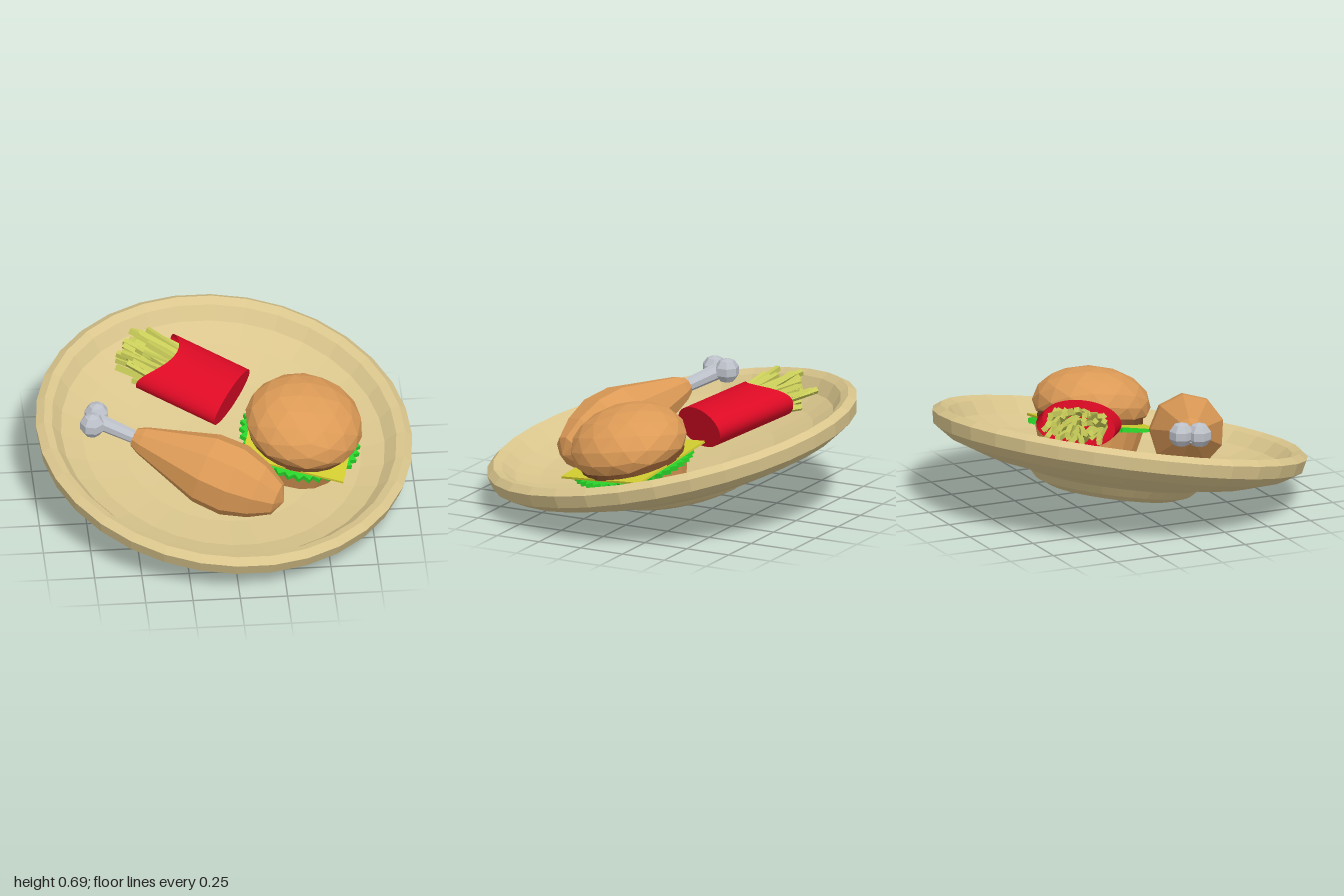
import * as THREE from 'three';

const mat = (name, color, opts = {}) => {
  const m = new THREE.MeshStandardMaterial({ color, ...opts });
  m.name = name;
  return m;
};
const V2 = (a) => a.map(([x, y]) => new THREE.Vector2(x, y));
const V3 = (x, y, z) => new THREE.Vector3(x, y, z);
const UP = V3(0, 1, 0);

function seeded(seed) {
  return () => (seed = (seed * 16807) % 2147483647) / 2147483647;
}

function add(parent, name, geo, material, x = 0, y = 0, z = 0) {
  const m = new THREE.Mesh(geo, material);
  m.name = name;
  m.position.set(x, y, z);
  parent.add(m);
  return m;
}

function subgroup(parent, name, pos) {
  const g = new THREE.Group();
  g.name = name;
  g.position.copy(pos);
  parent.add(g);
  return g;
}

export function createModel() {
  const flat = { flatShading: true };
  const clay = mat('plate clay', 0xd9c58c, flat);
  const bread = mat('bun', 0xdc9a56, flat);
  const meat = mat('patty', 0x7a4c28, flat);
  const green = mat('lettuce', 0x2ad42a, flat);
  const yellow = mat('cheese', 0xd2cc30, flat);
  const potato = mat('fries', 0xc8cc58, flat);
  const red = mat('carton red', 0xdc0a24, { side: THREE.DoubleSide });
  const bone = mat('bone', 0xbcc0c8, flat);

  const model = new THREE.Group();
  model.name = 'mealOnPlate';

  // Shallow footed plate, leaning forward and to its left
  const plate = add(model, 'plate', new THREE.LatheGeometry(V2([
    [0, -0.345], [0.33, -0.345], [0.41, -0.315], [0.455, -0.27], [0.52, -0.25],
    [0.72, -0.215], [0.9, -0.155], [0.985, -0.1], [1.0, -0.03], [0.96, 0],
    [0.915, -0.02], [0.86, -0.085], [0.74, -0.135], [0.52, -0.18], [0.28, -0.2], [0, -0.205],
  ]), 32), clay, 0, 0.41, 0);
  plate.quaternion.setFromUnitVectors(UP, V3(0.095, 1, 0.195).normalize());

  // Burger, stacked along its own tilted axis
  const burger = subgroup(model, 'burger', V3(0.4, 0.335, 0.01));
  burger.quaternion.setFromUnitVectors(UP, V3(0.18, 1, 0.17).normalize());
  add(burger, 'bottomBun', new THREE.CylinderGeometry(0.29, 0.26, 0.11, 20), bread, 0, -0.085, 0);
  const leaf = new THREE.Shape(V2(Array.from({ length: 72 }, (_, i) => {
    const r = i % 2 ? 0.325 : 0.295, a = (i / 72) * Math.PI * 2;
    return [r * Math.cos(a), r * Math.sin(a)];
  })));
  add(burger, 'lettuce', new THREE.ExtrudeGeometry(leaf, { depth: 0.025, bevelEnabled: false })
    .rotateX(-Math.PI / 2), green, 0, -0.032, 0);
  add(burger, 'cheese', new THREE.BoxGeometry(0.55, 0.012, 0.55), yellow).rotation.y = -0.22;
  add(burger, 'patty', new THREE.CylinderGeometry(0.28, 0.28, 0.04, 24), meat, 0, 0.02, 0);
  // Top bun: faceted ball, squashed and flattened underneath
  const dome = new THREE.IcosahedronGeometry(1, 2);
  const dp = dome.attributes.position;
  for (let i = 0; i < dp.count; i++) {
    const y = dp.getY(i);
    dp.setXYZ(i, dp.getX(i) * 0.315, Math.max(y * 0.2, -0.06), dp.getZ(i) * 0.315);
  }
  add(burger, 'topBun', dome, bread, 0, 0.095, 0);

  // Drumstick: faceted meat lathed along its axis
  const start = V3(-0.48, 0.49, 0.18);
  const drumstick = subgroup(model, 'drumstick', start);
  drumstick.quaternion.setFromUnitVectors(UP, V3(0.75, -0.23, 0.32).normalize());
  add(drumstick, 'drumstickMeat', new THREE.LatheGeometry(V2([
    [0, -0.02], [0.05, -0.015], [0.075, 0.03], [0.13, 0.2], [0.195, 0.4],
    [0.2, 0.56], [0.155, 0.7], [0.09, 0.81], [0, 0.85],
  ]), 9), bread);

  // Bone with two knuckles
  const tip = V3(-0.69, 0.545, 0.075);
  const boneGroup = subgroup(model, 'bone', start.clone().add(tip).multiplyScalar(0.5));
  const along = tip.clone().sub(start);
  const shaft = add(boneGroup, 'boneShaft',
    new THREE.CylinderGeometry(0.045, 0.035, along.length() + 0.04, 8), bone);
  shaft.quaternion.setFromUnitVectors(UP, along.normalize());
  for (const [x, y, z] of [[-0.68, 0.55, 0.03], [-0.71, 0.545, 0.12]]) {
    add(model, 'boneKnuckle', new THREE.SphereGeometry(0.068, 7, 5), bone, x, y, z);
  }

  // Fries carton: oval tube lying down, mouth towards the back right
  const base = V3(0.055, 0.455, -0.2);
  const fries = subgroup(model, 'friesCarton', base);
  const axis = V3(-0.395, 0.105, -0.225);
  const len = axis.length();
  axis.normalize();
  const side = new THREE.Vector3().crossVectors(axis, V3(0.12, 1, 0.19)).normalize();
  const up = new THREE.Vector3().crossVectors(side, axis);
  fries.quaternion.setFromRotationMatrix(new THREE.Matrix4().makeBasis(side, axis, up));
  const W = 0.21, T = 0.11;
  const tube = new THREE.CylinderGeometry(1, 1, len, 40, 1, true).translate(0, len / 2, 0);
  const tp = tube.attributes.position;
  for (let i = 0; i < tp.count; i++) {
    const x = tp.getX(i), y = tp.getY(i), z = tp.getZ(i);
    // scooped upper lip
    const dip = y > 0.1 && z > 0 ? 0.11 * z * z : 0;
    tp.setXYZ(i, x * W, y - dip, z * T);
  }
  tube.computeVertexNormals();
  add(fries, 'cartonWall', tube, red);
  const cap = add(fries, 'cartonBase', new THREE.CircleGeometry(1, 40).rotateX(Math.PI / 2), red);
  cap.scale.set(W, 1, T);

  // Loose fan of square fries
  const rnd = seeded(77);
  const stick = new THREE.BoxGeometry(0.027, 0.4, 0.027);
  for (let row = 0; row < 4; row++) {
    for (let col = 0; col < 9; col++) {
      const u = (col - 4) / 4, v = (row - 1.5) / 1.5;
      const reach = len + 0.05 + rnd() * 0.14;
      const f = add(fries, 'fry', stick, potato,
        u * 0.145 * (1 - 0.15 * Math.abs(v)), reach - 0.2, v * 0.065 * (1 - 0.4 * u * u) + 0.005);
      f.rotation.set(v * 0.08 + (rnd() - 0.5) * 0.24, rnd() * 1.5, -u * 0.12 + (rnd() - 0.5) * 0.3);
    }
  }
  return model;
}
